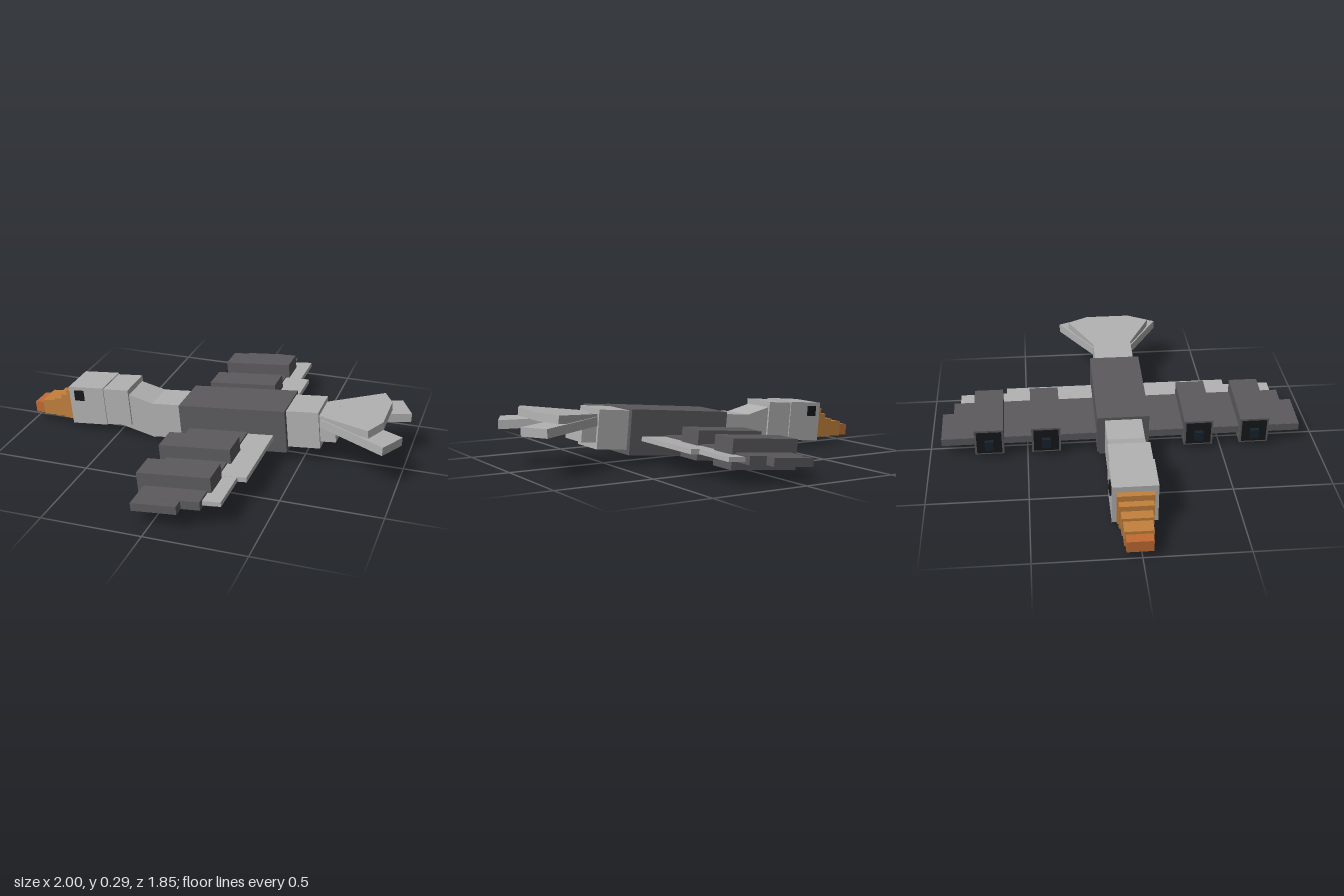
import * as THREE from 'three';

const mat = (color, side = THREE.FrontSide) =>
  new THREE.MeshStandardMaterial({ color, flatShading: true, side });

export function createModel() {
  const model = new THREE.Group();
  model.name = 'birdPlane';
  const light = mat(0xb0b0b0), dark = mat(0x5b595c), black = mat(0x15171a);
  const navy = mat(0x16222c), orange = mat(0xc07f3c), tipOrange = mat(0xc06a32);
  const TILT = 0.092; // whole body pitches nose-down

  // Box by centre, size and pitch
  function box(name, m, [x, y, z], size, tilt = TILT) {
    const b = new THREE.Mesh(new THREE.BoxGeometry(...size), m);
    b.name = name;
    b.position.set(x, y, z);
    b.rotation.z = tilt;
    model.add(b);
    return b;
  }

  // Fuselage with a slightly narrower belly
  box('fuselage', dark, [0.142, 0.153, 0], [0.56, 0.212, 0.265]);
  box('belly', dark, [0.144, 0.14, 0], [0.55, 0.22, 0.247]);

  // Neck and head
  box('lowerNeck', light, [-0.215, 0.117, 0], [0.2, 0.188, 0.187]);
  box('upperNeck', light, [-0.37, 0.123, 0], [0.2, 0.185, 0.186], -0.23);
  box('headBack', light, [-0.515, 0.155, 0], [0.17, 0.2, 0.207]);
  box('head', light, [-0.667, 0.143, 0], [0.197, 0.208, 0.218]);
  for (const s of [1, -1]) box('eye', black, [-0.713, 0.197, s * 0.109], [0.052, 0.055, 0.016]);

  // Stepped beak: left end, right end, top height, width
  [[-0.795, -0.75, 0.205, 0.175], [-0.83, -0.75, 0.173, 0.163],
    [-0.88, -0.75, 0.143, 0.148], [-0.95, -0.75, 0.125, 0.137]].forEach(([a, b, top, w]) => {
    const bottom = 0.043;
    box('beakStep', orange, [(a + b) / 2, (top + bottom) / 2 + 0.002, 0], [b - a, top - bottom, w]);
  });
  box('beakTip', tipOrange, [-0.957, 0.071, 0], [0.085, 0.06, 0.126]);
  for (const s of [1, -1]) box('nostril', black, [-0.928, 0.108, s * 0.05], [0.042, 0.016, 0.012]);

  // Wings: full-span boards with stepped tips
  box('wing', dark, [0.07, 0.108, 0], [0.313, 0.042, 1.736]);
  box('wingTips', dark, [0.023, 0.104, 0], [0.222, 0.04, 1.85]);
  box('trailingFeathers', light, [0.255, 0.125, 0], [0.21, 0.024, 1.182]);
  box('outerFeathers', light, [0.235, 0.123, 0], [0.16, 0.022, 1.67]);

  // Four wing engines
  for (const z of [-0.682, -0.392, 0.392, 0.682]) {
    box('engine', dark, [0.062, 0.12, z], [0.365, 0.145, 0.149]);
    box('engineFront', black, [-0.121, 0.103, z], [0.006, 0.125, 0.128]);
    box('engineHub', navy, [-0.131, 0.094, z], [0.024, 0.052, 0.045]);
  }

  // Tail
  box('tailBase', light, [0.49, 0.185, 0], [0.19, 0.195, 0.208]);
  box('tailEnd', light, [0.6, 0.2, 0], [0.125, 0.14, 0.177]);

  // Flat feather fan cut from a plan outline, hinged at its root
  function fan(name, points, thickness, x, y, tilt) {
    const shape = new THREE.Shape(points.map(p => new THREE.Vector2(...p)));
    const geo = new THREE.ExtrudeGeometry(shape, { depth: thickness, bevelEnabled: false });
    geo.rotateX(-Math.PI / 2);
    const f = new THREE.Mesh(geo, light);
    f.name = name;
    f.position.set(x, y, 0);
    f.rotation.z = tilt;
    model.add(f);
  }
  const half = [[0, 0.09], [0.268, 0.228], [0.322, 0.12]];
  fan('upperTailFan', [...half.map(([a, b]) => [a, -b]), ...half.slice().reverse()], 0.04, 0.585, 0.228, 0.1);
  // Two splayed lower feathers
  for (const s of [1, -1]) {
    const plank = [[0, 0.1 * s], [0.345, 0.278 * s], [0.415, 0.137 * s], [0.06, -0.02 * s]];
    fan('lowerTailFeather', s > 0 ? plank.reverse() : plank, 0.044, 0.585, 0.212, -0.035);
  }

  model.position.z = -0.011;
  const root = new THREE.Group();
  root.add(model);
  return root;
}
